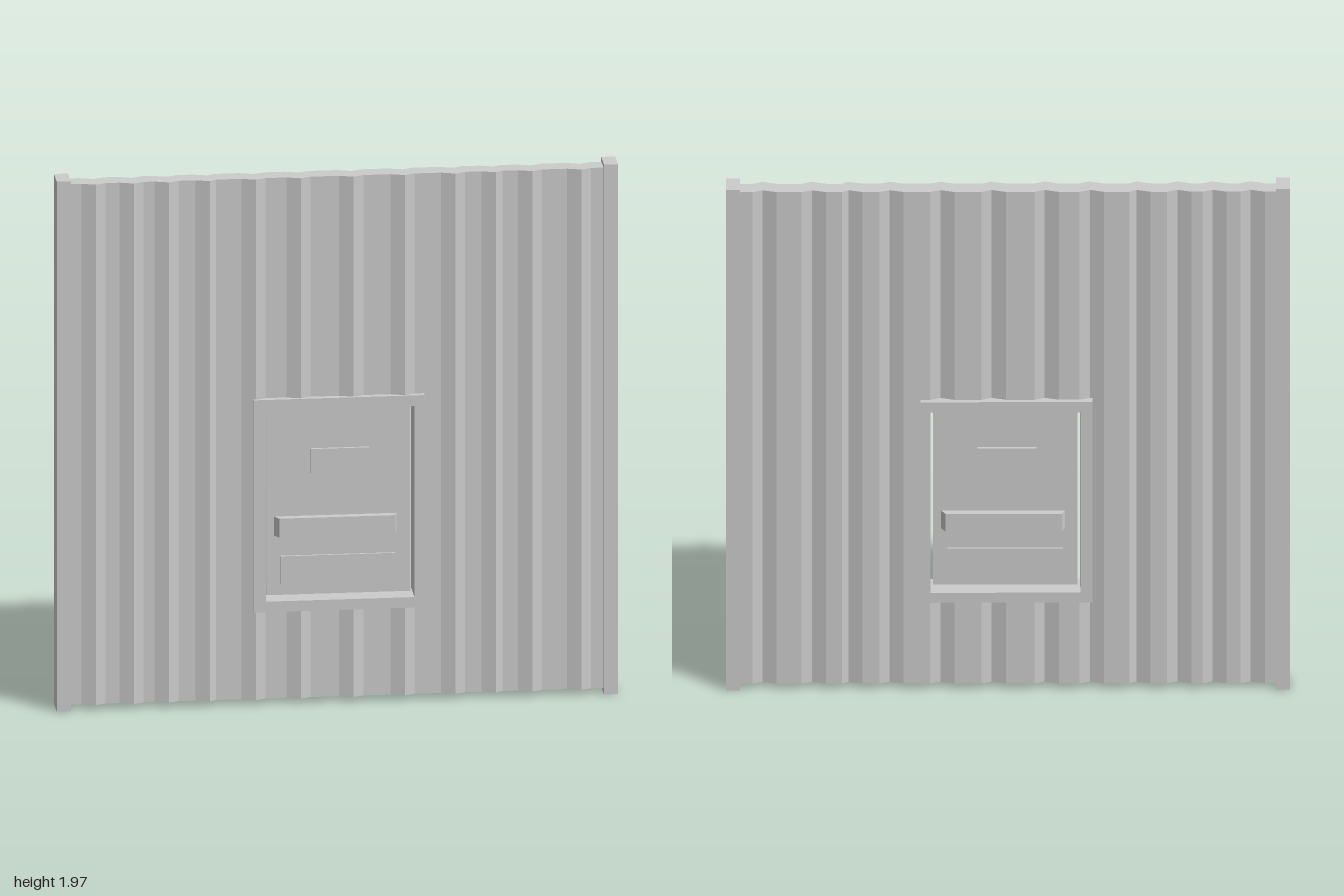
import * as THREE from 'three';

const material = new THREE.MeshStandardMaterial({ color: 0xcccccc, flatShading: true });

// Ridge crests across the wall; the sheets overlap at the two seams
const crests = [-0.86, -0.725, -0.6, -0.455, -0.29, -0.13, 0.058, 0.24, 0.42, 0.565, 0.695, 0.87];
const seams = [-0.455, 0.565];
const RISE = 0.016;
const BACK = -0.036, FRONT = 0.033;

// Corrugation as [x, offset] breakpoints
const wave = [[-0.96, 0]];
for (const x of crests) {
  const fall = seams.includes(x) ? 0.024 : 0.036;
  wave.push([x - 0.05, 0], [x, RISE], [x + fall, 0]);
}
wave.push([0.96, 0]);

function offsetAt(x) {
  const i = wave.findIndex(p => p[0] >= x);
  if (i < 1) return 0;
  const [a, za] = wave[i - 1], [b, zb] = wave[i];
  return za + (zb - za) * (x - a) / (b - a);
}

function add(parent, name, geometry, x = 0, y = 0, z = 0) {
  const mesh = new THREE.Mesh(geometry, material);
  mesh.name = name;
  mesh.position.set(x, y, z);
  parent.add(mesh);
  return mesh;
}

// Box given by its limits
function block(parent, name, x0, x1, y0, y1, z0, z1) {
  return add(parent, name, new THREE.BoxGeometry(x1 - x0, y1 - y0, z1 - z0),
    (x0 + x1) / 2, (y0 + y1) / 2, (z0 + z1) / 2);
}

// Upright piece of corrugated sheet
function sheet(parent, name, x0, x1, y0, y1) {
  const line = [[x0, offsetAt(x0)], ...wave.filter(p => p[0] > x0 && p[0] < x1), [x1, offsetAt(x1)]];
  const outline = [
    ...line.map(([x, o]) => new THREE.Vector2(x, -(FRONT + o))),
    ...line.reverse().map(([x, o]) => new THREE.Vector2(x, -(BACK + o))),
  ];
  const geometry = new THREE.ExtrudeGeometry(new THREE.Shape(outline), { depth: y1 - y0, bevelEnabled: false });
  geometry.rotateX(-Math.PI / 2);
  add(parent, name, geometry, 0, y0, 0);
}

function rectangle(PathType, x0, x1, y0, y1) {
  return new PathType([[x0, y0], [x1, y0], [x1, y1], [x0, y1]].map(p => new THREE.Vector2(...p)));
}

export function createModel() {
  const model = new THREE.Group();
  model.name = 'corrugatedWall';

  // End posts
  block(model, 'rightPost', -1, -0.95, 0, 1.965, -0.047, 0.047);
  block(model, 'leftPost', 0.95, 1, 0, 1.965, -0.047, 0.047);

  // Corrugated sheets around the hatch opening
  const wall = new THREE.Group();
  wall.name = 'corrugatedSheets';
  model.add(wall);
  const L = -0.256, R = 0.274, B = 0.386, T = 1.094;
  sheet(wall, 'rightSheet', -0.955, L, 0.02, 1.95);
  sheet(wall, 'leftSheet', R, 0.955, 0.02, 1.95);
  sheet(wall, 'lowerSheet', L, R, 0.02, B);
  sheet(wall, 'upperSheet', L, R, T, 1.95);

  // Hatch frame
  const frameShape = rectangle(THREE.Shape, -0.3, 0.31, 0.347, 1.134);
  frameShape.holes.push(rectangle(THREE.Path, L, R, B, T));
  add(model, 'hatchFrame',
    new THREE.ExtrudeGeometry(frameShape, { depth: 0.112, bevelEnabled: false }), 0, 0, -0.056);

  // Hatch door, recessed, with a narrow gap all round
  const skin = 0.008;
  block(model, 'hatchDoor', L + 0.009, R - 0.009, B + 0.009, T - 0.009, -skin, skin);

  // Fittings, the same on both faces
  const handleShape = new THREE.Shape([
    [-0.222, 0], [0.217, 0], [0.206, 0.028], [-0.206, 0.028],
  ].map(p => new THREE.Vector2(...p)));
  for (const side of ['front', 'back']) {
    const fittings = new THREE.Group();
    fittings.name = side + 'Fittings';
    block(fittings, 'labelPlate', -0.093, 0.116, 0.845, 0.935, skin, skin + 0.01);
    block(fittings, 'lowerPlate', -0.2, 0.21, 0.435, 0.54, skin, skin + 0.008);
    // Handle bar with sloping ends
    const bar = new THREE.ExtrudeGeometry(handleShape, { depth: 0.07, bevelEnabled: false });
    bar.rotateX(Math.PI / 2);
    add(fittings, 'handleBar', bar, 0, 0.686, skin);
    if (side === 'back') {
      fittings.rotation.y = Math.PI;
      fittings.position.x = 0.015;
    }
    model.add(fittings);
  }
  return model;
}
